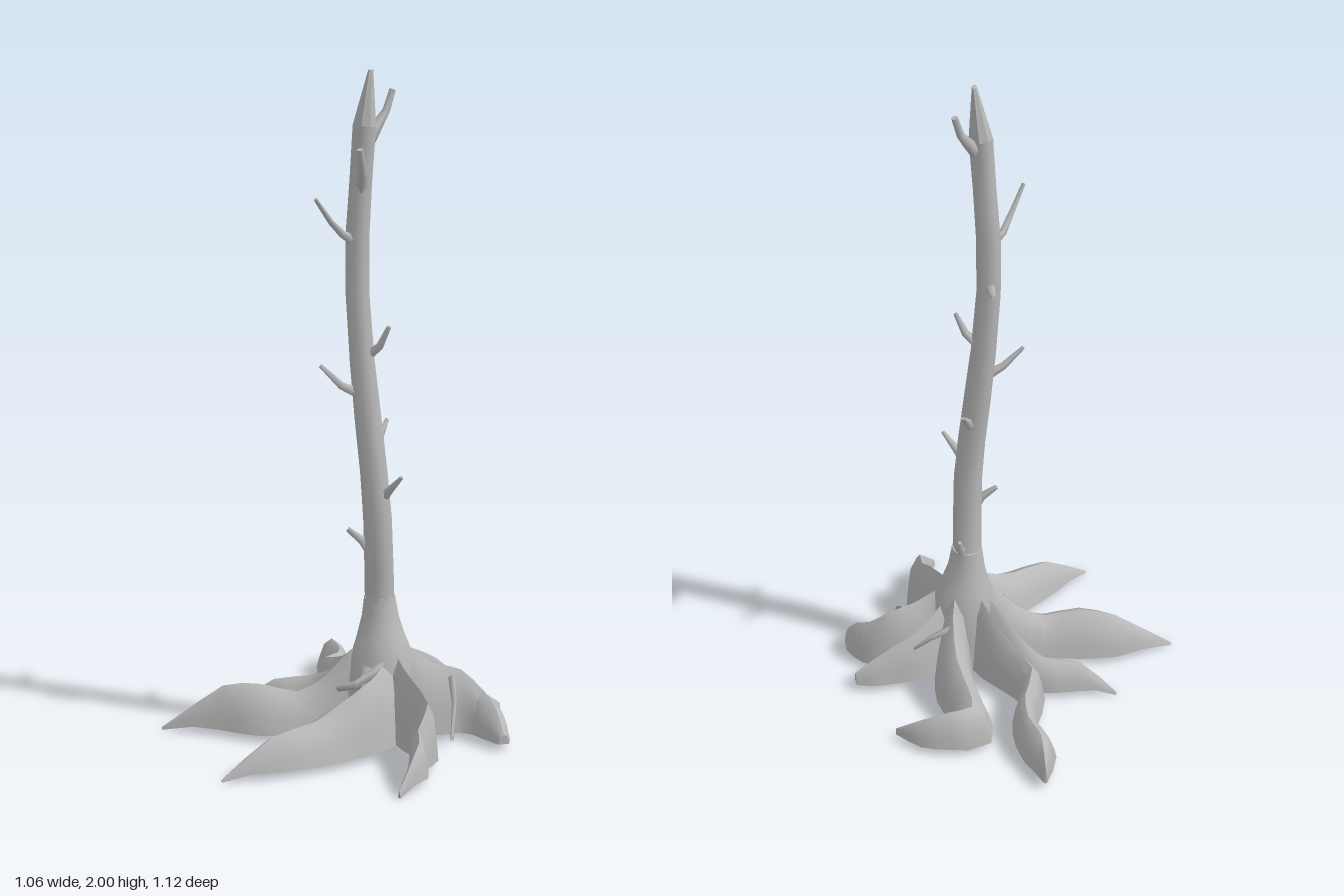
import * as THREE from 'three';
import { toCreasedNormals } from 'three/addons/utils/BufferGeometryUtils.js';

const V = (x, y, z) => new THREE.Vector3(x, y, z);

// Skin equal-sized sections (counter-clockwise about the path), capped at the far end;
// closed sections wrap round, open ones leave the underside hollow
function loft(rings, closed, crease) {
  const n = rings[0].length, pos = [], idx = [];
  rings.flat().forEach(p => pos.push(p.x, p.y, p.z));
  for (let i = 0; i < rings.length - 1; i++) {
    for (let j = 0; j < (closed ? n : n - 1); j++) {
      const a = i * n + j, b = i * n + (j + 1) % n;
      idx.push(a, b, b + n, a, b + n, a + n);
    }
  }
  const last = (rings.length - 1) * n;
  for (let j = 1; j < n - 1; j++) idx.push(last, last + j, last + j + 1);
  const geo = new THREE.BufferGeometry();
  geo.setAttribute('position', new THREE.Float32BufferAttribute(pos, 3));
  geo.setIndex(idx);
  return toCreasedNormals(geo, crease);
}

// Direction of a path at point i
const tangent = (pts, i) =>
  pts[Math.min(i + 1, pts.length - 1)].clone().sub(pts[Math.max(i - 1, 0)]).normalize();

// Round limb through rows of [x, y, z, radius]
function limbRings(rows, sides) {
  const pts = rows.map(r => V(r[0], r[1], r[2]));
  const dir = pts[pts.length - 1].clone().sub(pts[0]).normalize();
  const ref = Math.abs(dir.z) > 0.7 ? V(1, 0, 0) : V(0, 0, 1);
  return pts.map((p, i) => {
    const t = tangent(pts, i);
    const u = t.clone().cross(ref).normalize(), v = t.clone().cross(u);
    return Array.from({ length: sides }, (_, k) => {
      const a = k / sides * Math.PI * 2, r = rows[i][3];
      return p.clone().addScaledVector(u, r * Math.cos(a)).addScaledVector(v, r * Math.sin(a));
    });
  });
}

// Root section: half-widths and heights from one foot over the ridge to the other
const ARCH = [[-1, 0], [-0.82, 0.38], [-0.5, 0.82], [0, 1], [0.5, 0.82], [0.82, 0.38], [1, 0]];

// Ground root through rows of [x, z, ridge height, half width], with softened bends
function rootRings(rows) {
  const path = new THREE.CatmullRomCurve3(rows.map(r => V(r[0], 0, r[1])), false, 'catmullrom', 0.4);
  const size = new THREE.CatmullRomCurve3(rows.map(r => V(r[2], r[3], 0)), false, 'catmullrom', 0.3);
  const steps = (rows.length - 1) * 2;
  const pts = path.getPoints(steps), sizes = size.getPoints(steps);
  return pts.map((p, i) => {
    const side = tangent(pts, i).cross(V(0, 1, 0));
    const { x: h, y: w } = sizes[i];
    const base = h < 0.03 ? 0 : 0.02;
    return ARCH.map(([s, k]) => V(p.x + side.x * s * w, base + (h - base) * k, p.z + side.z * s * w));
  });
}

const ROOTS = {
  backRightRoot: [[0.10, 0.03, 0.30, 0.04], [0.03, -0.05, 0.24, 0.042], [-0.04, -0.11, 0.18, 0.038],
    [-0.11, -0.175, 0.15, 0.042], [-0.10, -0.29, 0.13, 0.04], [-0.12, -0.38, 0.12, 0.042],
    [-0.165, -0.455, 0.12, 0.05], [-0.19, -0.56, 0.07, 0.004]],
  backRoot: [[0.15, 0.02, 0.32, 0.05], [0.15, -0.08, 0.25, 0.06], [0.125, -0.19, 0.18, 0.065],
    [0.075, -0.29, 0.14, 0.06], [0.055, -0.365, 0.135, 0.068], [0.12, -0.395, 0.13, 0.045],
    [0.20, -0.40, 0.10, 0.037], [0.29, -0.38, 0.04, 0.004]],
  rightRoot: [[0.10, 0.05, 0.30, 0.05], [0.03, 0.02, 0.24, 0.045], [-0.04, -0.03, 0.17, 0.045],
    [-0.13, -0.08, 0.12, 0.055], [-0.25, -0.07, 0.10, 0.042], [-0.37, -0.09, 0.01, 0.004]],
  longRightRoot: [[0.11, 0.05, 0.32, 0.05], [0.03, 0.07, 0.26, 0.06], [-0.04, 0.095, 0.18, 0.065],
    [-0.12, 0.12, 0.135, 0.075], [-0.23, 0.138, 0.155, 0.085], [-0.35, 0.14, 0.14, 0.063],
    [-0.53, 0.19, 0.008, 0.004]],
  frontRoot: [[0.14, 0.06, 0.31, 0.05], [0.155, 0.15, 0.25, 0.06], [0.125, 0.225, 0.215, 0.065],
    [0.055, 0.29, 0.165, 0.08], [0.0, 0.355, 0.13, 0.075], [-0.10, 0.455, 0.11, 0.055],
    [-0.22, 0.56, 0.008, 0.004]],
  frontLeftRoot: [[0.16, 0.07, 0.29, 0.05], [0.215, 0.15, 0.25, 0.035], [0.265, 0.22, 0.23, 0.03],
    [0.325, 0.295, 0.195, 0.032], [0.31, 0.36, 0.135, 0.028], [0.33, 0.43, 0.125, 0.028],
    [0.30, 0.55, 0.02, 0.004]],
  leftRoot: [[0.14, 0.05, 0.31, 0.06], [0.22, 0.05, 0.26, 0.065], [0.29, 0.02, 0.225, 0.06],
    [0.36, -0.005, 0.205, 0.05], [0.43, 0.005, 0.15, 0.05], [0.48, 0.05, 0.11, 0.045],
    [0.515, 0.105, 0.05, 0.018]],
  backLeftRoot: [[0.15, 0.04, 0.30, 0.04], [0.22, -0.03, 0.22, 0.04], [0.28, -0.08, 0.17, 0.037],
    [0.34, -0.105, 0.14, 0.035], [0.40, -0.125, 0.10, 0.034], [0.455, -0.145, 0.06, 0.014]],
};

// Broken twigs, listed from the top down
const TWIGS = [
  [[0.08, 1.80, 0.04, 0.022], [0.10, 1.85, -0.01, 0.016], [0.115, 1.88, -0.03, 0.012], [0.13, 1.94, -0.045, 0.01]],
  [[0.06, 1.65, 0.05, 0.022], [0.075, 1.70, 0.09, 0.017], [0.08, 1.73, 0.12, 0.014], [0.08, 1.78, 0.14, 0.01]],
  [[0.05, 1.50, 0.05, 0.018], [0.01, 1.53, 0.08, 0.012], [-0.01, 1.57, 0.13, 0.009], [-0.04, 1.64, 0.185, 0.006]],
  [[0.045, 1.38, 0.04, 0.018], [0.03, 1.38, -0.02, 0.012], [0.02, 1.39, -0.06, 0.007]],
  [[0.07, 1.16, 0.05, 0.018], [0.12, 1.20, 0.06, 0.012], [0.15, 1.26, 0.07, 0.007]],
  [[0.07, 1.05, 0.06, 0.018], [0.01, 1.08, 0.085, 0.012], [-0.05, 1.14, 0.10, 0.006]],
  [[0.10, 0.87, 0.06, 0.02], [0.11, 0.92, 0.01, 0.012], [0.12, 0.96, -0.035, 0.006]],
  [[0.12, 0.73, 0.07, 0.02], [0.155, 0.77, 0.09, 0.013], [0.20, 0.82, 0.11, 0.006]],
  [[0.11, 0.56, 0.07, 0.02], [0.075, 0.61, 0.08, 0.014], [0.03, 0.645, 0.085, 0.008]],
  [[0.125, 0.41, 0.05, 0.02], [0.135, 0.46, -0.005, 0.013], [0.13, 0.515, -0.045, 0.006]],
];

// Thin rootlets that wander over the root crown
const ROOTLETS = [
  [[0.18, 0.27, 0.10, 0.016], [0.13, 0.23, 0.17, 0.015], [0.09, 0.20, 0.20, 0.014], [0.02, 0.17, 0.16, 0.01]],
  [[0.10, 0.25, 0.11, 0.022], [0.11, 0.19, 0.19, 0.02], [0.105, 0.10, 0.22, 0.015], [0.10, 0.03, 0.225, 0.01]],
  [[0.15, 0.22, -0.09, 0.012], [0.22, 0.19, -0.115, 0.009], [0.27, 0.14, -0.105, 0.005]],
  [[0.34, 0.19, 0.03, 0.012], [0.36, 0.13, 0.085, 0.008], [0.365, 0.03, 0.14, 0.005]],
  [[0.19, 0.22, 0.14, 0.012], [0.23, 0.18, 0.13, 0.01], [0.26, 0.15, 0.12, 0.006]],
];

export function createModel() {
  const group = new THREE.Group();
  // Both sides show, since the roots and crown are hollow shells
  const wood = new THREE.MeshStandardMaterial({ color: 0xb8b8b8, side: THREE.DoubleSide });
  wood.name = 'bareWood';
  const add = (name, rings, closed, crease) => {
    const mesh = new THREE.Mesh(loft(rings, closed, crease), wood);
    mesh.name = name;
    group.add(mesh);
  };

  // Leaning trunk, ending in a splintered chisel tip
  const trunk = limbRings([
    [0.12, 0.40, 0.05, 0.046], [0.12, 0.52, 0.06, 0.045], [0.118, 0.68, 0.073, 0.044], [0.105, 0.82, 0.068, 0.042],
    [0.085, 0.98, 0.06, 0.041], [0.065, 1.15, 0.052, 0.038], [0.048, 1.35, 0.043, 0.036],
    [0.047, 1.52, 0.04, 0.036], [0.058, 1.68, 0.045, 0.034], [0.068, 1.84, 0.043, 0.035]], 8);
  const top = trunk[trunk.length - 1];
  add('trunk', trunk, true, 1.0);
  add('splinteredTip', [top, top.map(p => V(0.085 + (p.x - 0.068) * 0.2, 2, 0.037 + (p.z - 0.043) * 0.42))], true, 0.3);

  // Flared crown where the roots meet the trunk, hollow underneath
  add('rootCrown', limbRings([
    [0.13, 0.03, 0.06, 0.11], [0.13, 0.15, 0.06, 0.108], [0.13, 0.25, 0.055, 0.098],
    [0.125, 0.31, 0.052, 0.076], [0.122, 0.37, 0.05, 0.058], [0.12, 0.435, 0.05, 0.048]], 10), true, 1.0);

  for (const [name, rows] of Object.entries(ROOTS)) add(name, rootRings(rows), false, 0.8);
  TWIGS.forEach((rows, i) => add('twig' + (i + 1), limbRings(rows, 5), true, 1.4));
  ROOTLETS.forEach((rows, i) => add('rootlet' + (i + 1), limbRings(rows, 5), true, 1.4));
  return group;
}
